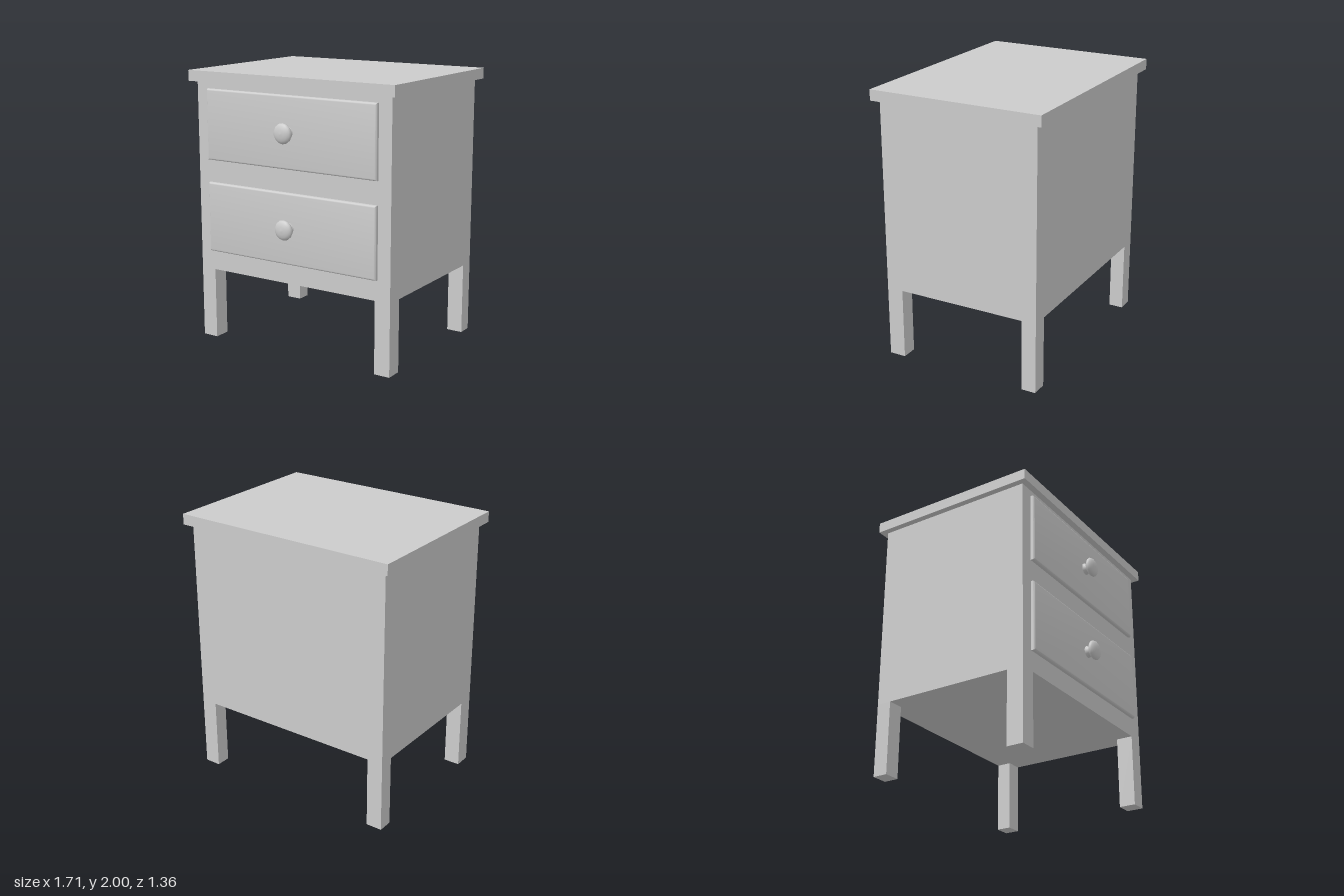
import * as THREE from 'three';
import { toCreasedNormals } from 'three/addons/utils/BufferGeometryUtils.js';

const material = new THREE.MeshStandardMaterial({ color: 0xcccccc });

function addMesh(parent, name, geometry) {
  const mesh = new THREE.Mesh(geometry, material);
  mesh.name = name;
  parent.add(mesh);
  return mesh;
}

// Box given by its minimum and maximum corners
function addBox(parent, name, [x0, y0, z0], [x1, y1, z1]) {
  const mesh = addMesh(parent, name, new THREE.BoxGeometry(x1 - x0, y1 - y0, z1 - z0));
  mesh.position.set((x0 + x1) / 2, (y0 + y1) / 2, (z0 + z1) / 2);
}

// Drawer panel with a softened front edge, its back at z = 0
function drawerPanelGeometry(width, height, depth, bevel) {
  const w = width / 2 - bevel, h = height / 2 - bevel;
  const shape = new THREE.Shape([
    new THREE.Vector2(-w, -h), new THREE.Vector2(w, -h),
    new THREE.Vector2(w, h), new THREE.Vector2(-w, h),
  ]);
  const geometry = new THREE.ExtrudeGeometry(shape, {
    depth, bevelEnabled: true, bevelSize: bevel, bevelThickness: bevel, bevelSegments: 3,
  });
  geometry.translate(0, 0, -bevel);
  // Sink the back bevel so that the back stays square, and set the front depth
  const p = geometry.attributes.position;
  for (let i = 0; i < p.count; i++) {
    const z = p.getZ(i);
    p.setZ(i, z < 0 ? z : Math.min(z, depth));
  }
  return toCreasedNormals(geometry, 0.7);
}

// Turned knob: flared foot, narrow neck and flattened round head
function knobGeometry() {
  const profile = [[0.046, -0.005], [0.042, 0.006], [0.038, 0.014], [0.038, 0.026]];
  const rings = 8;
  for (let i = 1; i <= rings; i++) {
    const a = -Math.PI / 2 + 0.55 + (i - 1) / (rings - 1) * (Math.PI - 0.55);
    profile.push([Math.max(0, 0.073 * Math.cos(a)), 0.056 + 0.032 * Math.sin(a)]);
  }
  const points = profile.map(([r, y]) => new THREE.Vector2(r, y));
  return new THREE.LatheGeometry(points, 14).rotateX(Math.PI / 2);
}

export function createModel() {
  const model = new THREE.Group();
  model.name = 'nightstand';

  const halfWidth = 0.81, front = 0.565, back = -0.634, bodyBottom = 0.528, bodyTop = 1.922;

  addBox(model, 'top', [-0.855, bodyTop, -0.682], [0.855, 2, 0.612]);
  addBox(model, 'body', [-halfWidth, bodyBottom, back], [halfWidth, bodyTop, front]);

  // Four square legs flush with the body corners
  for (const [side, x] of [['left', 0.69], ['right', -halfWidth]]) {
    addBox(model, side + 'FrontLeg', [x, 0, 0.442], [x + 0.12, bodyBottom, front]);
    addBox(model, side + 'BackLeg', [x, 0, back], [x + 0.12, bodyBottom, -0.525]);
  }

  // Two drawers, each with a central knob
  const panel = drawerPanelGeometry(1.42, 0.516, 0.029, 0.014);
  const knob = knobGeometry();
  for (const [name, y, knobY] of [['upperDrawer', 1.615, 1.618], ['lowerDrawer', 0.933, 0.94]]) {
    const drawer = new THREE.Group();
    drawer.name = name;
    addMesh(drawer, 'drawerFront', panel).position.set(0, y, front);
    addMesh(drawer, 'knob', knob).position.set(0, knobY, 0.594);
    model.add(drawer);
  }
  return model;
}
